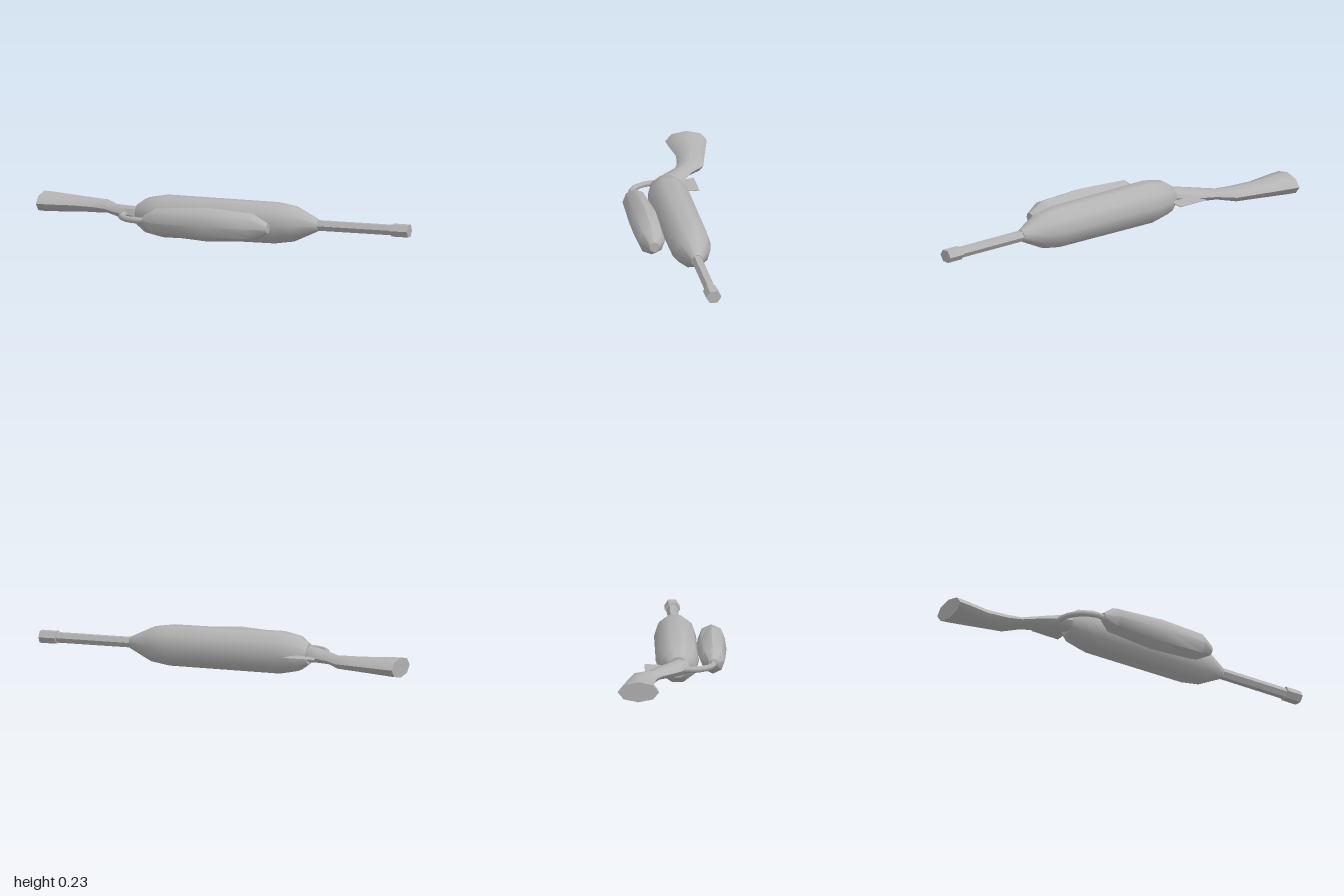
import * as THREE from 'three';
import { toCreasedNormals } from 'three/addons/utils/BufferGeometryUtils.js';

const Y = 0.117;                       // height of the centre plane
const FRONT = [0.325, 0.55];           // x, z where the barrel leaves the body
const D = [0.645, 0.764];              // forward direction of the long axis
const N = [0.764, -0.645];             // sideways direction

// Ring on the long axis: t along, n sideways, r half width, h half height
function axisRing(t, n, r, h = r) {
  return {
    c: [FRONT[0] + D[0] * t + N[0] * n, FRONT[1] + D[1] * t + N[1] * n],
    s: [N[0] * r, N[1] * r], h,
  };
}

// Ring spanning two points seen from above
function spanRing(lx, lz, rx, rz, h) {
  return { c: [(lx + rx) / 2, (lz + rz) / 2], s: [(rx - lx) / 2, (rz - lz) / 2], h };
}

// Closed skin through a series of rings, with capped ends
function loft(rings, sides, crease = 0.8) {
  const pos = [];
  const pt = (r, j) => {
    const a = (j / sides) * Math.PI * 2, k = Math.cos(a);
    return [r.c[0] + r.s[0] * k, Y + r.h * Math.sin(a), r.c[1] + r.s[1] * k];
  };
  const mid = (r) => [r.c[0], Y, r.c[1]];
  const tri = (a, b, c) => pos.push(...a, ...b, ...c);
  const first = rings[0], last = rings[rings.length - 1];
  for (let j = 0; j < sides; j++) {
    for (let i = 0; i < rings.length - 1; i++) {
      const a = pt(rings[i], j), b = pt(rings[i], j + 1);
      const c = pt(rings[i + 1], j + 1), d = pt(rings[i + 1], j);
      tri(a, b, c);
      tri(a, c, d);
    }
    tri(mid(first), pt(first, j + 1), pt(first, j));
    tri(mid(last), pt(last, j), pt(last, j + 1));
  }
  const g = new THREE.BufferGeometry();
  g.setAttribute('position', new THREE.Float32BufferAttribute(pos, 3));
  return toCreasedNormals(g, crease);
}

export function createModel() {
  const group = new THREE.Group();
  const grey = new THREE.MeshStandardMaterial({ color: 0xb4b4b4, side: THREE.DoubleSide });
  grey.name = 'plain grey';
  const add = (name, geometry) => {
    const m = new THREE.Mesh(geometry, grey);
    m.name = name;
    group.add(m);
  };

  // Large body tank
  add('mainTank', loft([
    axisRing(-1.085, 0, 0.06), axisRing(-1.03, 0, 0.1), axisRing(-0.92, 0, 0.122),
    axisRing(-0.25, 0, 0.118), axisRing(-0.135, 0, 0.1), axisRing(0, 0, 0.034),
  ], 10));

  // Small tank alongside
  add('sideTank', loft([
    axisRing(-0.98, -0.2, 0.025), axisRing(-0.91, -0.2, 0.068, 0.075),
    axisRing(-0.6, -0.197, 0.086, 0.096), axisRing(-0.32, -0.203, 0.076, 0.08),
    axisRing(-0.23, -0.203, 0.03),
  ], 8));

  // Barrel and muzzle
  add('barrel', loft([axisRing(-0.03, 0, 0.032), axisRing(0.46, 0, 0.032)], 6));
  add('muzzle', loft([axisRing(0.445, 0, 0.044, 0.039), axisRing(0.545, 0, 0.044, 0.039)], 6));

  // Stock and grip
  add('stock', loft([
    spanRing(-0.708, -0.86, -0.52, -1.0, 0.058),
    spanRing(-0.66, -0.81, -0.495, -0.955, 0.056),
    spanRing(-0.55, -0.71, -0.4, -0.77, 0.045),
    spanRing(-0.48, -0.6, -0.34, -0.655, 0.04),
    spanRing(-0.455, -0.525, -0.35, -0.54, 0.028),
    spanRing(-0.46, -0.4, -0.33, -0.445, 0.035),
    spanRing(-0.455, -0.32, -0.325, -0.32, 0.043),
    spanRing(-0.43, -0.24, -0.328, -0.275, 0.05),
  ], 8));

  // Curved hose from the grip to the small tank
  const path = new THREE.CatmullRomCurve3(
    [[-0.43, -0.32], [-0.485, -0.275], [-0.513, -0.19], [-0.493, -0.11], [-0.43, -0.045]]
      .map(([x, z]) => new THREE.Vector3(x, Y, z)));
  add('hose', new THREE.TubeGeometry(path, 8, 0.018, 6));

  // Flat trigger plate
  const plate = new THREE.Shape(
    [[-0.3, -0.48], [-0.18, -0.34], [-0.235, -0.3], [-0.28, -0.3], [-0.33, -0.37], [-0.338, -0.42]]
      .map(([x, z]) => new THREE.Vector2(x, -z)));
  const plateGeometry = new THREE.ExtrudeGeometry(plate, { depth: 0.004, bevelEnabled: false });
  plateGeometry.rotateX(-Math.PI / 2).translate(0, Y - 0.002, 0);
  add('triggerPlate', plateGeometry);

  return group;
}
